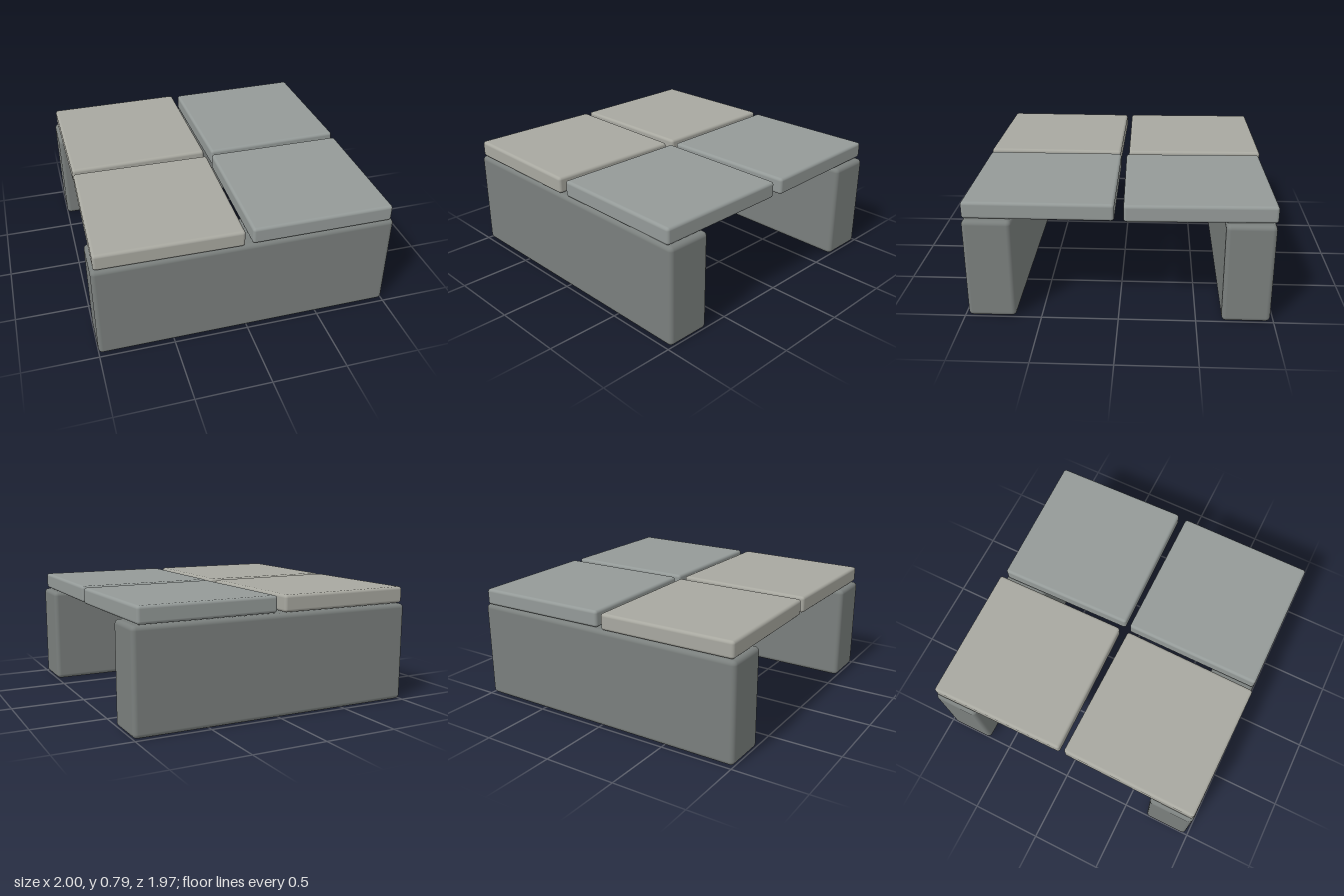
import * as THREE from 'three';
import { RoundedBoxGeometry } from 'three/addons/geometries/RoundedBoxGeometry.js';

const material = (color) => new THREE.MeshStandardMaterial({ color });

export function createModel() {
  const group = new THREE.Group();
  const stone = material(0x7a7f7d);
  const warm = material(0xa8a8a0);
  const cool = material(0x949a98);

  const addBlock = (name, size, position, mat, radius, turn = 0) => {
    const mesh = new THREE.Mesh(new RoundedBoxGeometry(...size, 3, radius), mat);
    mesh.name = name;
    mesh.position.set(...position);
    mesh.rotation.y = turn;
    group.add(mesh);
  };

  // Two long supporting blocks, front and back
  for (const [name, side] of [['frontSupport', 1], ['backSupport', -1]]) {
    addBlock(name, [2, 0.677, 0.313], [0, 0.3385, side * 0.822], stone, 0.03);
  }

  // Four paving slabs, each laid very slightly askew
  const slabs = [
    ['backRightSlab', -0.499, -0.499, warm, 0.013],
    ['backLeftSlab', 0.501, -0.499, cool, 0.021],
    ['frontRightSlab', -0.498, 0.502, warm, -0.0125],
    ['frontLeftSlab', 0.5, 0.501, cool, -0.001],
  ];
  for (const [name, x, z, mat, turn] of slabs) {
    addBlock(name, [0.953, 0.112, 0.953], [x, 0.738, z], mat, 0.02, turn);
  }

  return group;
}
